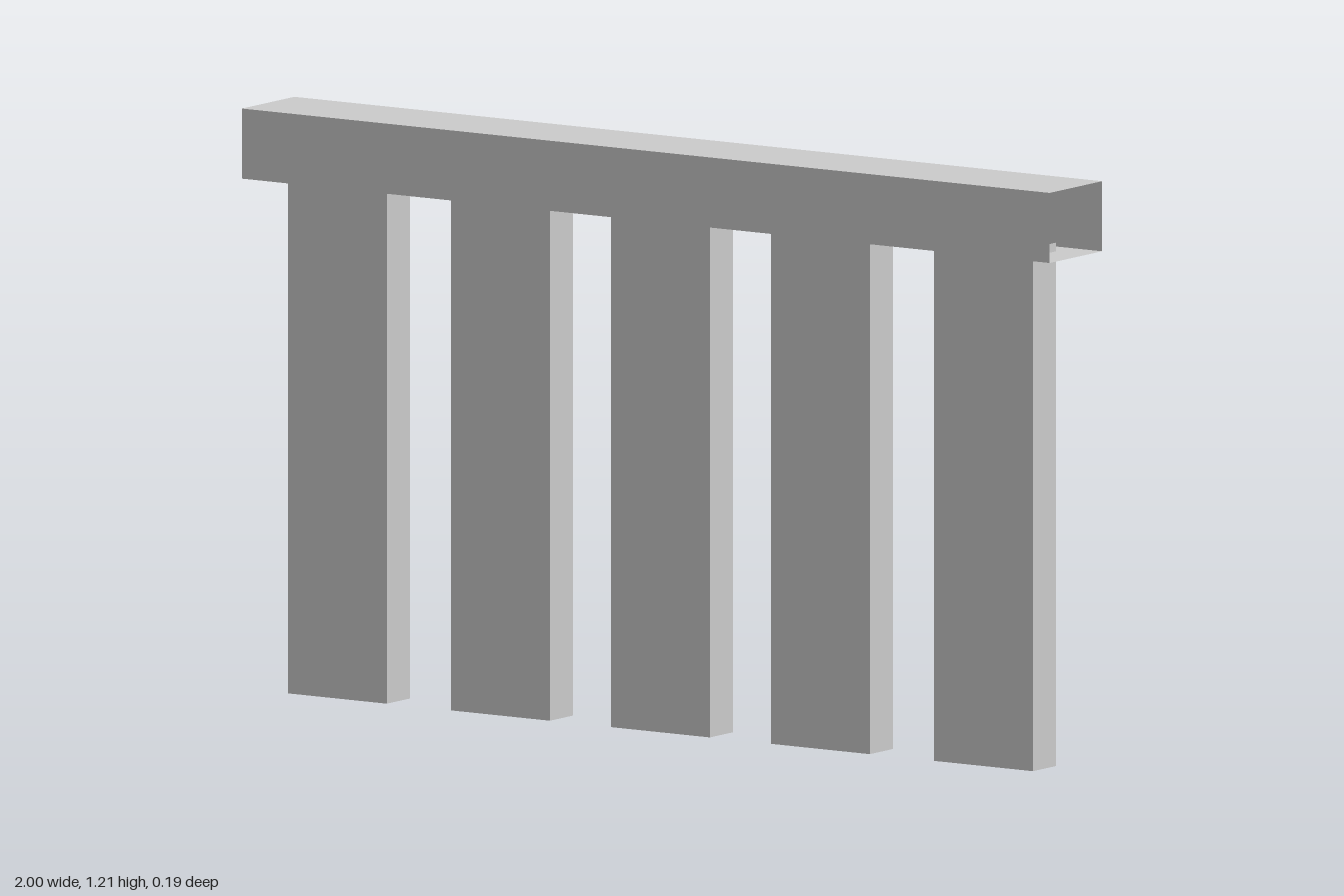
import * as THREE from 'three';

const material = new THREE.MeshStandardMaterial({
  color: 0xcccccc,
  flatShading: true,
  side: THREE.DoubleSide,
});

// Thin-walled rectangular tube along y, open at both ends
function boxTube(width, length, depth) {
  const tube = new THREE.CylinderGeometry(Math.SQRT1_2, Math.SQRT1_2, 1, 4, 1, true, Math.PI / 4);
  tube.scale(width, length, depth);
  const flat = tube.toNonIndexed();
  flat.computeVertexNormals();
  return flat;
}

export function createModel() {
  const group = new THREE.Group();

  // Hollow head rail lying along x
  const railBottom = 1.065, railTop = 1.21;
  const railGeometry = boxTube(railTop - railBottom, 2, 0.19).rotateZ(Math.PI / 2);
  const rail = new THREE.Mesh(railGeometry, material);
  rail.name = 'headRail';
  rail.position.y = (railBottom + railTop) / 2;
  group.add(rail);

  // Five hollow slats, their tops reaching just inside the rail
  const slatHeight = 1.083;
  const slatGeometry = boxTube(0.245, slatHeight, 0.084);
  [-0.8, -0.396, 0, 0.396, 0.8].forEach((x, i) => {
    const slat = new THREE.Mesh(slatGeometry, material);
    slat.name = `slat${i + 1}`;
    slat.position.set(x, slatHeight / 2, 0);
    group.add(slat);
  });

  return group;
}
